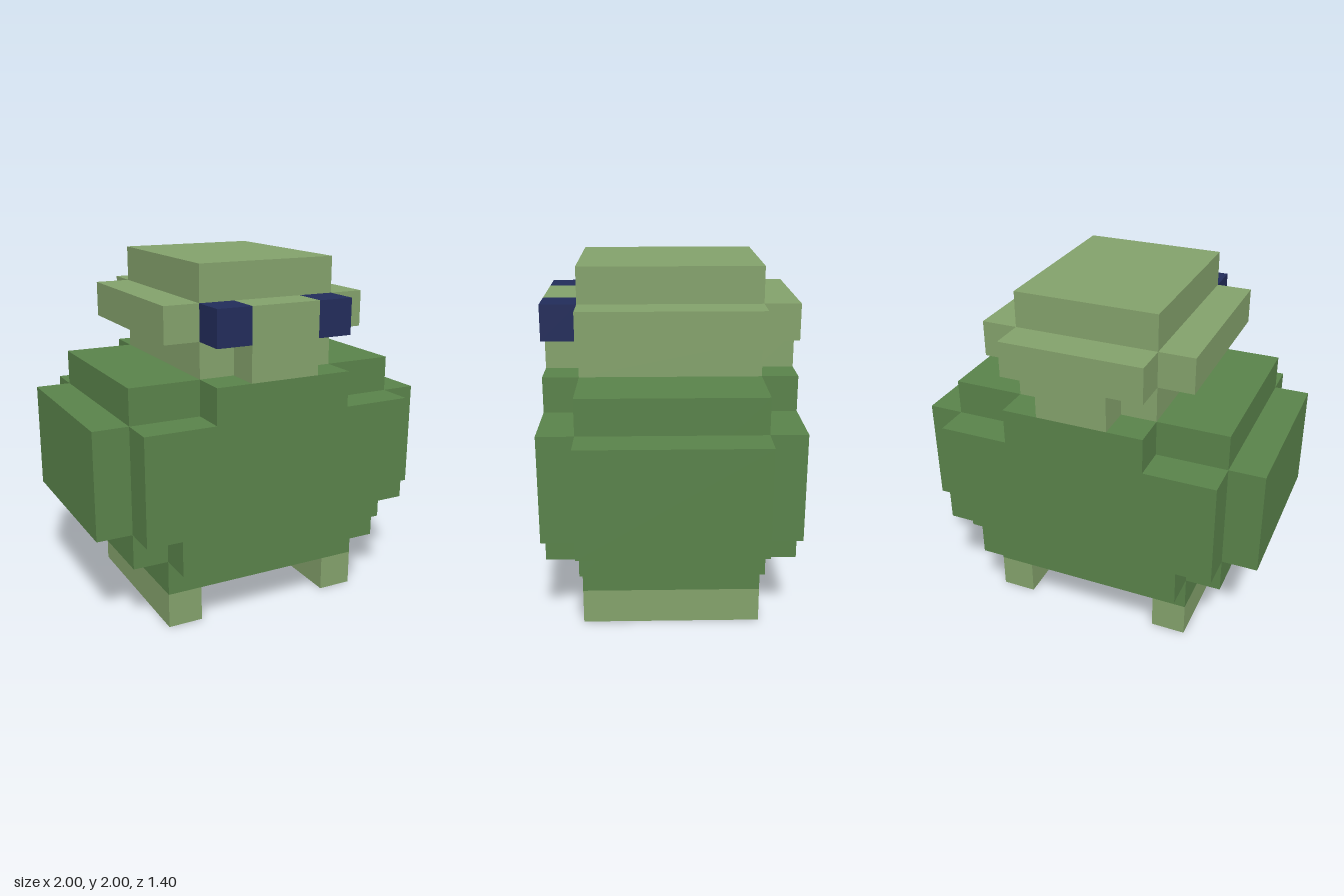
import * as THREE from 'three';

const flat = (name, color) => {
  const m = new THREE.MeshStandardMaterial({ color });
  m.name = name;
  return m;
};

export function createModel() {
  const darkGreen = flat('darkGreen', 0x59824a);
  const lightGreen = flat('lightGreen', 0x83a16b);
  const navy = flat('navy', 0x222c5a);

  const model = new THREE.Group();
  model.name = 'blockCreature';
  const part = (name) => {
    const g = new THREE.Group();
    g.name = name;
    model.add(g);
    return g;
  };

  // Box given by its extents on each axis
  const block = (parent, name, material, [x0, x1], [y0, y1], [z0, z1]) => {
    const mesh = new THREE.Mesh(new THREE.BoxGeometry(x1 - x0, y1 - y0, z1 - z0), material);
    mesh.position.set((x0 + x1) / 2, (y0 + y1) / 2, (z0 + z1) / 2);
    mesh.name = name;
    parent.add(mesh);
  };
  const wide = (w) => [-w, w];
  const side = (s, a, b) => (s > 0 ? [a, b] : [-b, -a]);
  const depth = wide(0.5);

  // Stepped body
  const body = part('body');
  block(body, 'belly', darkGreen, wide(0.6), [0.2, 0.4], depth);
  block(body, 'torso', darkGreen, wide(0.8), [0.4, 1.4], depth);

  // Head: neck, cheek layer and crown
  const head = part('head');
  block(head, 'neck', lightGreen, wide(0.4), [1.4, 1.6], depth);
  block(head, 'cheeks', lightGreen, wide(0.6), [1.6, 1.8], depth);
  block(head, 'crown', lightGreen, wide(0.4), [1.8, 2], depth);
  block(head, 'face', lightGreen, wide(0.2), [1.4, 1.8], [0.5, 0.7]);
  block(head, 'nape', lightGreen, wide(0.2), [1.4, 1.6], [-0.7, -0.5]);
  block(head, 'backOfHead', lightGreen, wide(0.4), [1.6, 1.8], [-0.7, -0.5]);

  // Chest and back plates
  for (const [s, label] of [[1, 'chest'], [-1, 'back']]) {
    const z = side(s, 0.5, 0.7);
    block(body, label + 'Lower', darkGreen, wide(0.6), [0.4, 0.6], z);
    block(body, label + 'Middle', darkGreen, wide(0.8), [0.6, 1.2], z);
    block(body, label + 'Upper', darkGreen, wide(0.4), [1.2, 1.4], z);
  }

  // Mirrored flanks, feet and eyes
  for (const [s, label] of [[1, 'left'], [-1, 'right']]) {
    block(body, label + 'Flank', darkGreen, side(s, 0.8, 1), [0.6, 1.2], depth);
    block(model, label + 'Foot', lightGreen, side(s, 0.4, 0.6), [0, 0.2], depth);
    block(head, label + 'Eye', navy, side(s, 0.2, 0.4), [1.6, 1.8], [0.5, 0.7]);
  }

  return model;
}
